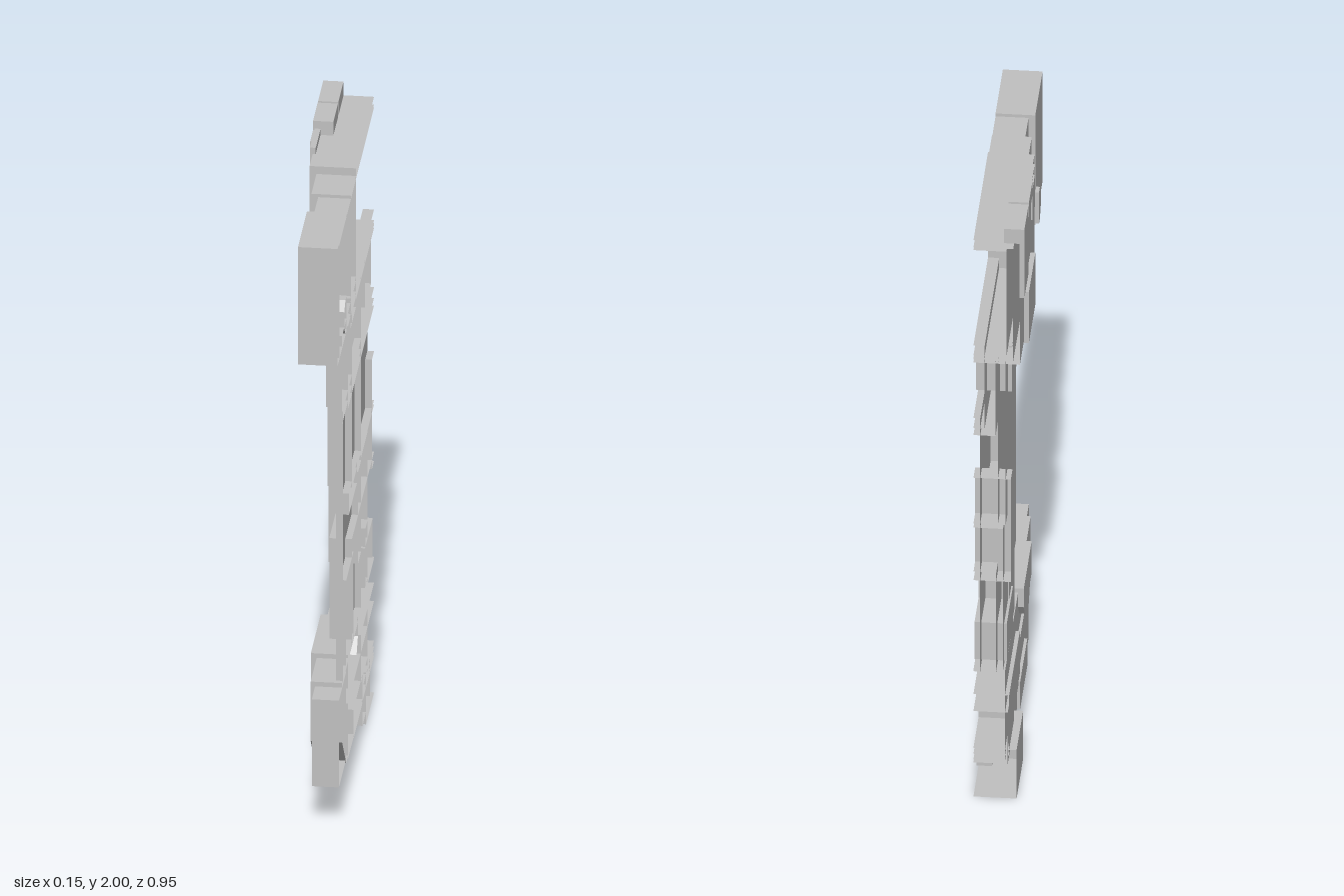
import * as THREE from 'three';

const BACK = -0.475; // open rear plane
const OPEN = 0.075;  // open inner side plane

export function createModel() {
  const group = new THREE.Group();
  const grey = new THREE.MeshStandardMaterial({ color: 0xc0c0c0, side: THREE.DoubleSide });
  grey.name = 'panel grey';

  // Open shell: outline of [z, y] points (counter-clockwise) capped at x0, with walls running to x1.
  function prism(name, x0, pts, x1 = OPEN, closed = false) {
    const pos = [];
    const tri = (a, b, c) => pos.push(...a, ...b, ...c);
    const at = (p, x) => [x, p[1], p[0]];
    const faces = THREE.ShapeUtils.triangulateShape(pts.map(p => new THREE.Vector2(...p)), []);
    for (const [a, b, c] of faces) {
      tri(at(pts[a], x0), at(pts[b], x0), at(pts[c], x0));
      if (closed) tri(at(pts[a], x1), at(pts[c], x1), at(pts[b], x1));
    }
    pts.forEach((p, i) => {
      const q = pts[(i + 1) % pts.length];
      if (!closed && p[0] === BACK && q[0] === BACK) return;
      tri(at(p, x0), at(p, x1), at(q, x1));
      tri(at(p, x0), at(q, x1), at(q, x0));
    });
    const geo = new THREE.BufferGeometry();
    geo.setAttribute('position', new THREE.Float32BufferAttribute(pos, 3));
    geo.computeVertexNormals();
    const mesh = new THREE.Mesh(geo, grey);
    mesh.name = name;
    group.add(mesh);
  }
  const box = (name, x0, z0, z1, y0, y1, x1, closed) =>
    prism(name, x0, [[z0, y0], [z1, y0], [z1, y1], [z0, y1]], x1, closed);

  // Head: overlapping stepped shells
  box('headFront', -0.042, 0.24, 0.475, 1.545, 1.93);
  box('headCore', -0.022, BACK, 0.43, 1.55, 1.92);
  box('headStepMiddle', -0.042, BACK, 0.125, 1.535, 1.93);
  box('headStepRear', -0.062, BACK, -0.005, 1.525, 1.955);
  prism('headLatch', -0.053, [[0.24, 1.55], [0.27, 1.55], [0.3, 1.58], [0.3, 1.635], [0.27, 1.66], [0.24, 1.66]]);

  // Head plates and roof bricks
  box('headUpperPlate', -0.07, -0.28, -0.085, 1.84, 1.975, -0.053, true);
  box('headSidePlate', -0.075, -0.21, -0.135, 1.86, 1.97, -0.06, true);
  box('headLowerPlate', -0.077, -0.35, -0.14, 1.52, 1.7, -0.05, true);
  box('roofBrickFront', -0.075, -0.33, -0.21, 1.95, 2, -0.015, true);
  box('roofBrickRear', -0.075, BACK, -0.34, 1.95, 2, -0.015, true);
  box('headRearPlate', -0.075, BACK, -0.34, 1.76, 1.96, -0.06, true);

  // Neck and the tall middle panel
  box('neck', 0.042, BACK, 0.355, 1.295, 1.585);
  box('neckTab', 0.02, -0.005, 0.14, 1.5, 1.6);
  box('neckPlate', -0.032, -0.4, -0.24, 1.38, 1.54);
  box('middlePanel', 0.055, BACK, 0.34, 0.44, 1.33);
  box('middleUpperStep', 0.003, BACK, 0.1, 0.96, 1.54);
  box('middleUpperStepRear', -0.02, BACK, -0.14, 0.96, 1.535);
  box('middleUpperRail', 0.01, BACK, 0.2, 1.27, 1.54);
  box('middleLowerStep', 0.008, BACK, 0.1, 0.44, 0.79);
  box('middleLowerStepRear', -0.012, BACK, -0.14, 0.44, 0.945);

  // Raised rectangles on the middle panel
  box('rearClip', -0.035, BACK, -0.42, 0.76, 1.12);
  for (const [x, z0, z1, y0, y1] of [
    [0.045, -0.03, 0.18, 0.91, 0.98],
    [-0.012, -0.14, -0.06, 0.63, 0.93],
    [0.045, 0.06, 0.25, 0.45, 0.73],
    [-0.015, -0.31, -0.14, 0.44, 0.94],
    [0.0, -0.31, -0.25, 0.46, 0.65],
    [-0.02, -0.44, -0.24, 0.46, 0.59],
  ]) box('middlePlate', x, z0, z1, y0, y1);

  // Foot: front block, chamfered body and side steps
  prism('footFront', -0.005, [[0.25, 0.145], [0.44, 0.145], [0.44, 0.43], [0.25, 0.43]]);
  prism('footBody', -0.018, [[BACK, 0.13], [0.25, 0.13], [0.355, 0.25], [0.355, 0.445], [BACK, 0.445]]);
  box('footStep', -0.026, BACK, 0.2, 0.12, 0.3);
  prism('footUpperBrick', -0.035, [[-0.02, 0.35], [0.2, 0.35], [0.2, 0.46], [-0.055, 0.46], [-0.055, 0.395]]);
  box('footMiddlePlate', -0.03, -0.31, -0.13, 0.2, 0.36);
  box('footLowerPlate', -0.035, -0.17, 0.06, 0.115, 0.21);
  box('footRearPlate', -0.03, BACK, -0.31, 0.15, 0.36);
  box('footPeg', 0.03, -0.37, -0.175, 0.04, 0.165);
  box('footBase', -0.052, BACK, -0.265, 0, 0.17);

  return group;
}
